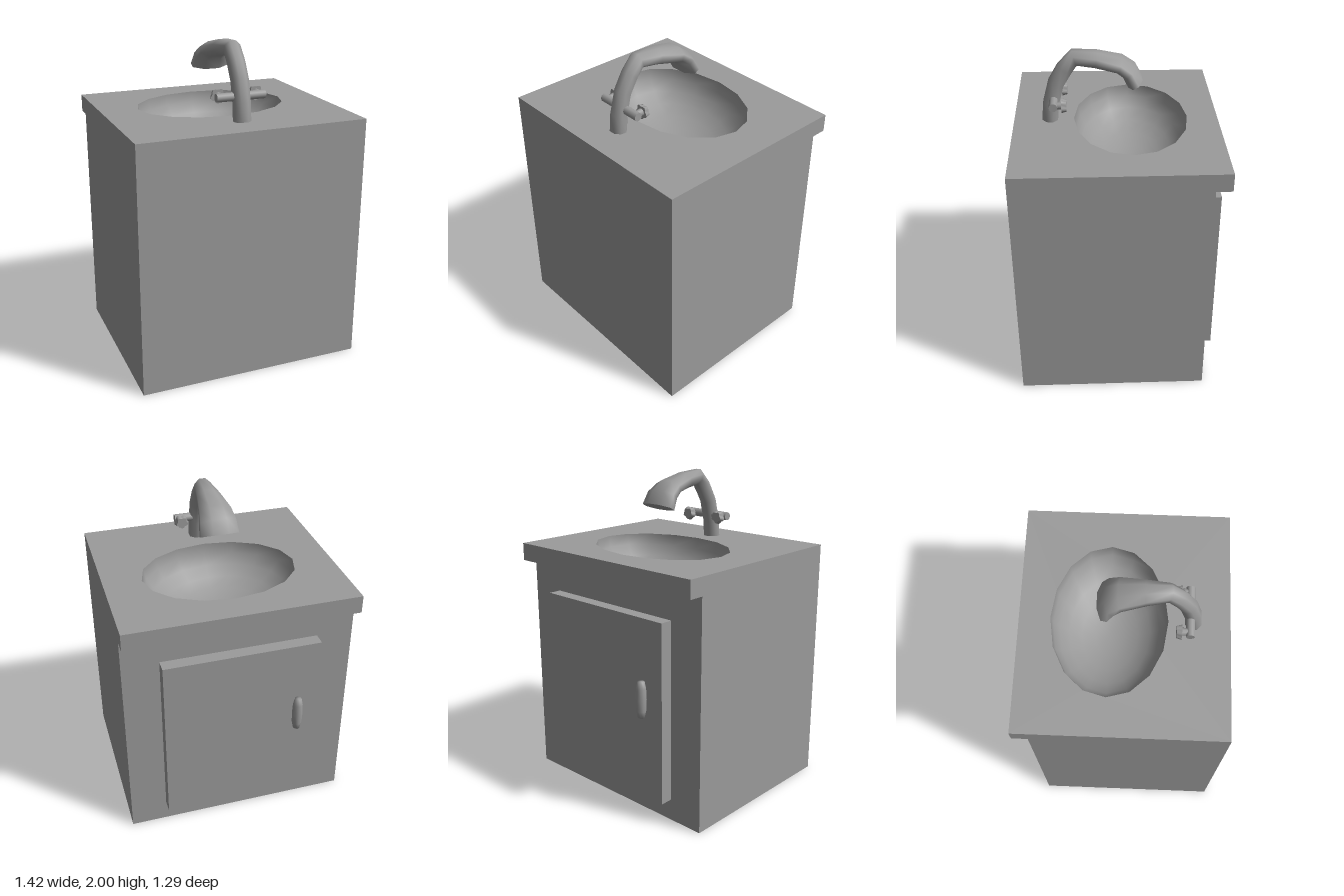
import * as THREE from 'three';

const material = new THREE.MeshStandardMaterial({ color: 0x9b9b9b, side: THREE.DoubleSide });

function add(parent, name, geometry, x = 0, y = 0, z = 0) {
  const mesh = new THREE.Mesh(geometry, material);
  mesh.name = name;
  mesh.position.set(x, y, z);
  parent.add(mesh);
  return mesh;
}

const W = 1.416, TOP = 1.55, FRONT = 0.643, BACK = -0.504, LIP = -0.6, LIP_Y = 1.44;
const BOWL = { z: -0.068, rx: 0.476, rz: 0.347, depth: 0.27, sides: 16 };

// Cabinet shell, open underneath, with a countertop lip along the back
function buildCabinet() {
  const g = new THREE.Group();
  g.name = 'cabinet';

  const profile = [[FRONT, 0], [FRONT, TOP], [LIP, TOP], [LIP, LIP_Y], [BACK, LIP_Y], [BACK, 0]];
  for (const s of [1, -1]) {
    const shape = new THREE.Shape(profile.map(([z, y]) => new THREE.Vector2(-s * z, y)));
    add(g, s > 0 ? 'leftWall' : 'rightWall',
      new THREE.ShapeGeometry(shape).rotateY(s * Math.PI / 2), s * W / 2);
  }
  add(g, 'frontWall', new THREE.PlaneGeometry(W, TOP), 0, TOP / 2, FRONT);
  add(g, 'backWall', new THREE.PlaneGeometry(W, LIP_Y).rotateY(Math.PI), 0, LIP_Y / 2, BACK);
  add(g, 'lipEdge', new THREE.PlaneGeometry(W, TOP - LIP_Y).rotateY(Math.PI), 0, (TOP + LIP_Y) / 2, LIP);
  add(g, 'lipUnderside', new THREE.PlaneGeometry(W, BACK - LIP).rotateX(Math.PI / 2), 0, LIP_Y, (BACK + LIP) / 2);

  // Countertop with an oval cut-out for the basin
  const top = new THREE.Shape([[-W / 2, -FRONT], [W / 2, -FRONT], [W / 2, -LIP], [-W / 2, -LIP]]
    .map(([x, y]) => new THREE.Vector2(x, y)));
  const rim = [];
  for (let i = 0; i < BOWL.sides; i++) {
    const a = -i / BOWL.sides * Math.PI * 2;
    rim.push(new THREE.Vector2(BOWL.rx * Math.cos(a), -BOWL.z + BOWL.rz * Math.sin(a)));
  }
  top.holes.push(new THREE.Path(rim));
  add(g, 'countertop', new THREE.ShapeGeometry(top).rotateX(-Math.PI / 2), 0, TOP, 0);

  const bowl = new THREE.SphereGeometry(1, BOWL.sides, 6, 0, Math.PI * 2, Math.PI / 2, Math.PI / 2);
  add(g, 'basin', bowl.scale(BOWL.rx, BOWL.depth, BOWL.rz), 0, TOP, BOWL.z);
  return g;
}

// Door panel with a barrel-shaped pull
function buildDoor() {
  const g = new THREE.Group();
  g.name = 'door';
  add(g, 'doorPanel', new THREE.BoxGeometry(0.965, 1.125, 0.08), 0, 0.6975, -0.542);
  const pull = [[0, -0.112], [0.021, -0.112], [0.03, -0.07], [0.033, 0], [0.03, 0.07], [0.021, 0.112], [0, 0.112]]
    .map(([r, y]) => new THREE.Vector2(r, y));
  add(g, 'doorPull', new THREE.LatheGeometry(pull, 10), -0.345, 0.777, -0.61);
  return g;
}

// Curved spout: eight-sided sections along a path [z, y, half width], flaring to the mouth
function spoutGeometry() {
  const path = [
    [0.424, 1.55, 0.05], [0.414, 1.66, 0.05], [0.38, 1.79, 0.05], [0.327, 1.88, 0.05], [0.267, 1.95, 0.05],
    [0.14, 1.938, 0.07], [0, 1.905, 0.096], [-0.055, 1.866, 0.108], [-0.092, 1.795, 0.117]
  ];
  const N = 8, half = 0.048, pos = [], index = [];
  path.forEach(([z, y, w], i) => {
    const a = path[Math.max(i - 1, 0)], b = path[Math.min(i + 1, path.length - 1)];
    const t = new THREE.Vector2(b[0] - a[0], b[1] - a[1]).normalize();
    for (let j = 0; j < N; j++) {
      const ang = (j + 0.5) / N * Math.PI * 2, k = 1 / Math.cos(Math.PI / N);
      const v = Math.sin(ang) * half * k;
      pos.push(Math.cos(ang) * w * k, y + t.x * v, z - t.y * v);
    }
  });
  for (let i = 0; i < path.length - 1; i++) {
    for (let j = 0; j < N; j++) {
      const a = i * N + j, b = i * N + (j + 1) % N;
      index.push(a, b, a + N, b, b + N, a + N);
    }
  }
  // Mouth cap on its own vertices to keep the edge sharp
  const start = pos.length / 3;
  pos.push(...pos.slice(-N * 3));
  for (let j = 1; j < N - 1; j++) index.push(start, start + j, start + j + 1);
  const geo = new THREE.BufferGeometry();
  geo.setAttribute('position', new THREE.Float32BufferAttribute(pos, 3));
  geo.setIndex(index);
  geo.computeVertexNormals();
  return geo;
}

// Five-lobed knob cap with one lobe pointing down, tapering toward the basin
function knobGeometry() {
  const geo = new THREE.CylinderGeometry(0.038, 0.047, 0.03, 20);
  const p = geo.attributes.position;
  for (let i = 0; i < p.count; i++) {
    const f = 0.88 + 0.12 * Math.cos(5 * (Math.atan2(p.getZ(i), p.getX(i)) + Math.PI / 2));
    p.setX(i, p.getX(i) * f);
    p.setZ(i, p.getZ(i) * f);
  }
  geo.rotateX(-Math.PI / 2);
  geo.computeVertexNormals();
  return geo;
}

function buildFaucet() {
  const g = new THREE.Group();
  g.name = 'faucet';
  g.position.x = 0.004;
  add(g, 'spout', spoutGeometry());
  add(g, 'crossbar', new THREE.CylinderGeometry(0.026, 0.026, 0.306, 10).rotateZ(Math.PI / 2), 0, 1.695, 0.397);
  for (const s of [1, -1]) {
    const side = s > 0 ? 'left' : 'right';
    add(g, side + 'KnobStem', new THREE.CylinderGeometry(0.024, 0.02, 0.05, 10).rotateX(-Math.PI / 2), s * 0.121, 1.695, 0.362);
    add(g, side + 'Knob', knobGeometry(), s * 0.121, 1.694, 0.333);
  }
  return g;
}

export function createModel() {
  const model = new THREE.Group();
  model.name = 'sinkCabinet';
  model.add(buildCabinet(), buildDoor(), buildFaucet());
  return model;
}
